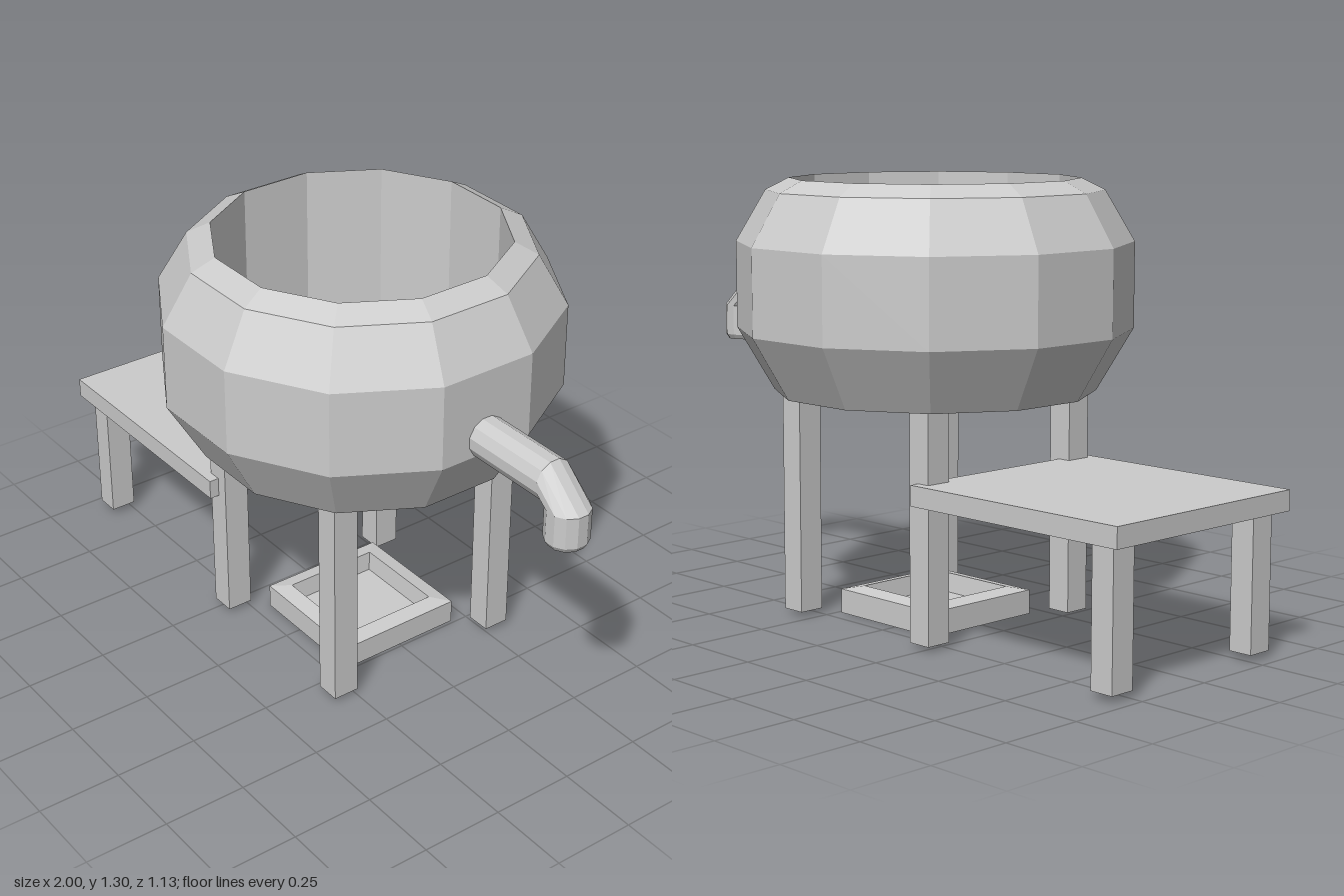
import * as THREE from 'three';

const material = new THREE.MeshStandardMaterial({ color: 0xcccccc, flatShading: true, side: THREE.DoubleSide });

function addMesh(parent, name, geometry, x = 0, y = 0, z = 0) {
  const mesh = new THREE.Mesh(geometry, material);
  mesh.name = name;
  mesh.position.set(x, y, z);
  parent.add(mesh);
  return mesh;
}

// Box given by its minimum and maximum corners
function addBox(parent, name, [x0, y0, z0], [x1, y1, z1]) {
  return addMesh(parent, name, new THREE.BoxGeometry(x1 - x0, y1 - y0, z1 - z0),
    (x0 + x1) / 2, (y0 + y1) / 2, (z0 + z1) / 2);
}

// Regular prism-like solid: profile of [distance to the flats, height]
function polygonLathe(profile, sides) {
  const k = 1 / Math.cos(Math.PI / sides);
  const points = profile.map(([r, y]) => new THREE.Vector2(r * k, y));
  return new THREE.LatheGeometry(points, sides, Math.PI / sides);
}

// Pipe through rings [x, y, tilt, radius]; tilt turns the axis from +x to -y
function pipeGeometry(rings, sides) {
  const positions = [], index = [];
  rings.forEach(([x, y, tilt, radius], i) => {
    const r = radius / Math.cos(Math.PI / sides);
    for (let j = 0; j < sides; j++) {
      const t = (j + 0.5) / sides * Math.PI * 2;
      const s = r * Math.sin(t);
      positions.push(x + s * Math.sin(tilt), y + s * Math.cos(tilt), r * Math.cos(t));
      if (i === rings.length - 1) continue;
      const a = i * sides + j, b = i * sides + (j + 1) % sides;
      index.push(a, a + sides, b, b, a + sides, b + sides);
    }
  });
  const geometry = new THREE.BufferGeometry();
  geometry.setAttribute('position', new THREE.Float32BufferAttribute(positions, 3));
  geometry.setIndex(index);
  geometry.computeVertexNormals();
  return geometry;
}

export function createModel() {
  const model = new THREE.Group();
  model.name = 'basinStand';
  const centre = 0.04;

  // Twelve-sided hollow basin with straight inner walls
  addMesh(model, 'basin', polygonLathe([
    [0, 0.68], [0.46, 0.68], [0.565, 0.865], [0.565, 1.12],
    [0.48, 1.27], [0.413, 1.305], [0.413, 0.74], [0, 0.74],
  ], 12), centre);

  // Bent spout: straight pipe, mitred elbow, chamfered hollow mouth
  const down = Math.PI / 2;
  addMesh(model, 'spout', pipeGeometry([
    [0.5, 0.916, 0, 0.06], [0.877, 0.916, 0, 0.06],
    [0.938, 0.866, down, 0.061], [0.938, 0.772, down, 0.061],
    [0.938, 0.757, down, 0.052], [0.938, 0.757, down, 0.045],
    [0.938, 0.79, down, 0.045], [0.938, 0.79, down, 0],
  ], 12));

  // Basin legs and side table legs, front and back
  for (const side of [1, -1]) {
    const z0 = side * 0.285 - 0.04, z1 = side * 0.285 + 0.04;
    const end = side > 0 ? 'Front' : 'Back';
    addBox(model, 'basinLegLeft' + end, [0.277, 0.015, z0], [0.353, 0.69, z1]);
    addBox(model, 'basinLegRight' + end, [-0.275, 0.015, z0], [-0.199, 0.69, z1]);
    addBox(model, 'tableLeg' + end, [-0.962, 0.02, z0], [-0.888, 0.42, z1]);
  }

  // Side table top
  addBox(model, 'tableTop', [-1, 0.416, -0.355], [-0.235, 0.476, 0.355]);

  // Square floor tray with a gently sloped rim
  addMesh(model, 'tray', polygonLathe([
    [0, 0], [0.2, 0], [0.2, 0.073], [0.15, 0.083], [0.142, 0.025], [0, 0.025],
  ], 4), centre);

  return model;
}
